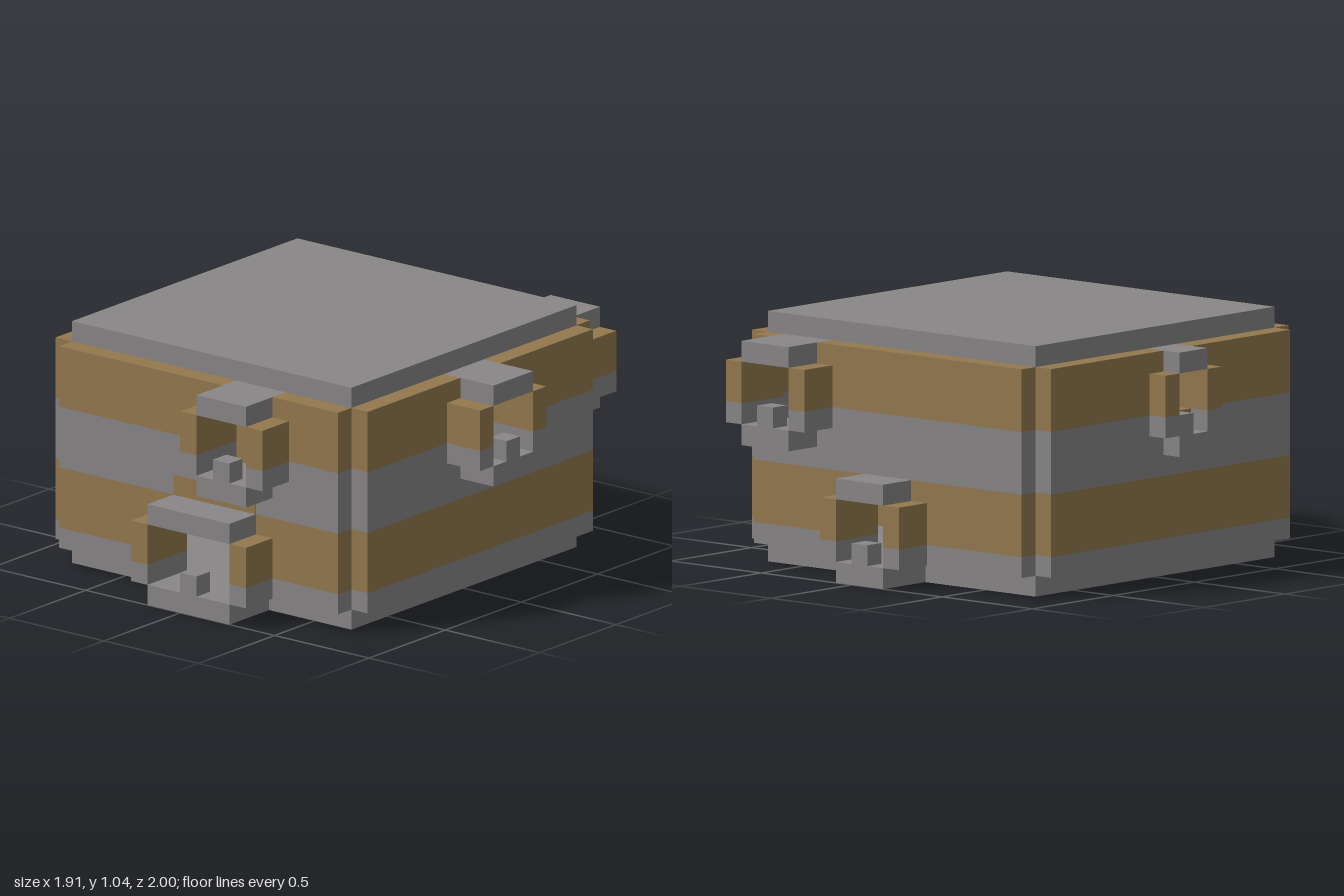
import * as THREE from 'three';
import { mergeGeometries } from 'three/addons/utils/BufferGeometryUtils.js';

const U = 2 / 23; // size of one block

export function createModel() {
  const model = new THREE.Group();
  model.name = 'blockHouse';
  const stone = new THREE.MeshStandardMaterial({ color: 0x898687 });
  stone.name = 'stoneGrey';
  const wood = new THREE.MeshStandardMaterial({ color: 0x93784e });
  wood.name = 'woodBrown';

  // Box between two block corners; x runs 0..22, y 0..12, z 0..23
  const box = (x0, x1, y0, y1, z0, z1) =>
    new THREE.BoxGeometry((x1 - x0) * U, (y1 - y0) * U, (z1 - z0) * U).translate(
      ((x0 + x1) / 2 - 11) * U, ((y0 + y1) / 2) * U, ((z0 + z1) / 2 - 11.5) * U);

  const add = (name, material, boxes) => {
    if (!boxes.length) return;
    const mesh = new THREE.Mesh(mergeGeometries(boxes), material);
    mesh.name = name;
    model.add(mesh);
  };

  // Lid and base slabs
  add('lid', stone, [box(2, 19, 11, 12, 3, 20)]);
  add('base', stone, [box(2, 19, 0, 1, 3, 20)]);

  // Each side: wall span, inner plane, direction out, and its framed openings.
  // An opening runs a..b along the wall, with its frame from y to top.
  const sides = [
    { name: 'front', alongX: true, span: [2, 19], inner: 20, out: 1, openings: [
      { a: 12, b: 15, y: 6, top: 11, depth: 2, nub: 13 },
      { a: 9, b: 14, y: 0, top: 5, depth: 2, nub: 11 }] },
    { name: 'back', alongX: true, span: [2, 19], inner: 3, out: -1, openings: [
      { a: 15, b: 18, y: 6, top: 11, depth: 2, nub: 16 },
      { a: 9, b: 12, y: 0, top: 5, depth: 2, nub: 10 }] },
    { name: 'left', alongX: false, span: [3, 20], inner: 19, out: 1, openings: [
      { a: 10, b: 13, y: 6, top: 11, depth: 2, nub: 11 }] },
    { name: 'right', alongX: false, span: [3, 20], inner: 2, out: -1, openings: [
      { a: 11, b: 13, y: 6, top: 11, depth: 1, nub: 11 }] },
  ];
  const isWood = (row) => (row >= 2 && row < 5) || row >= 8;

  for (const s of sides) {
    // Box given along the wall, in height, and outward from the inner plane
    const piece = (a, b, y0, y1, d0, d1) => {
      const p = s.inner + s.out * d0, q = s.inner + s.out * d1;
      const lo = Math.min(p, q), hi = Math.max(p, q);
      return s.alongX ? box(a, b, y0, y1, lo, hi) : box(lo, hi, y0, y1, a, b);
    };

    // Banded wall, row by row, skipping the openings
    const grey = [], brown = [];
    for (let row = 1; row < 11; row++) {
      const list = isWood(row) ? brown : grey;
      let from = s.span[0];
      for (const o of s.openings) {
        if (row < o.y || row >= o.top) continue;
        list.push(piece(from, o.a, row, row + 1, 0, 1));
        from = o.b;
      }
      list.push(piece(from, s.span[1], row, row + 1, 0, 1));
    }
    add(s.name + 'WallStone', stone, grey);
    add(s.name + 'WallWood', wood, brown);

    // Frames: top bar, sill with a small nub, and two-coloured posts
    for (const o of s.openings) {
      const d = 1 + o.depth, y = o.y;
      const posts = [[o.a - 1, o.a], [o.b, o.b + 1]];
      add(s.name + 'FrameStone', stone, [
        piece(o.a, o.b, o.top - 1, o.top, 0, d),
        piece(o.a, o.b, y, y + 1, 0, d),
        piece(o.nub, o.nub + 1, y + 1, y + 2, d - 1, d),
        ...posts.map(([a, b]) => piece(a, b, y + 1, y + 2, 1, d)),
      ]);
      add(s.name + 'FrameWood', wood,
        posts.map(([a, b]) => piece(a, b, y + 2, o.top - 1, 1, d)));
    }
  }

  // Brown strip above the lower front frame, and inner sill on the right
  add('frontPatch', wood, [box(9, 14, 5, 6, 20.5, 21.04)]);
  add('rightInnerSill', wood, [box(1.05, 2.05, 7, 8, 10, 13)]);

  // Inner partition with stone blocks against it
  add('partition', wood, [box(2, 19, 1, 11, 10, 11)]);
  add('innerStone', stone, [
    box(9, 12, 1, 2, 11, 12), box(13, 14, 1, 2, 11, 12),
    box(10, 12, 2, 3, 11, 12), box(12, 13, 2, 4, 11, 12),
    box(14, 15, 7, 8, 11, 11.1),
  ]);
  return model;
}
